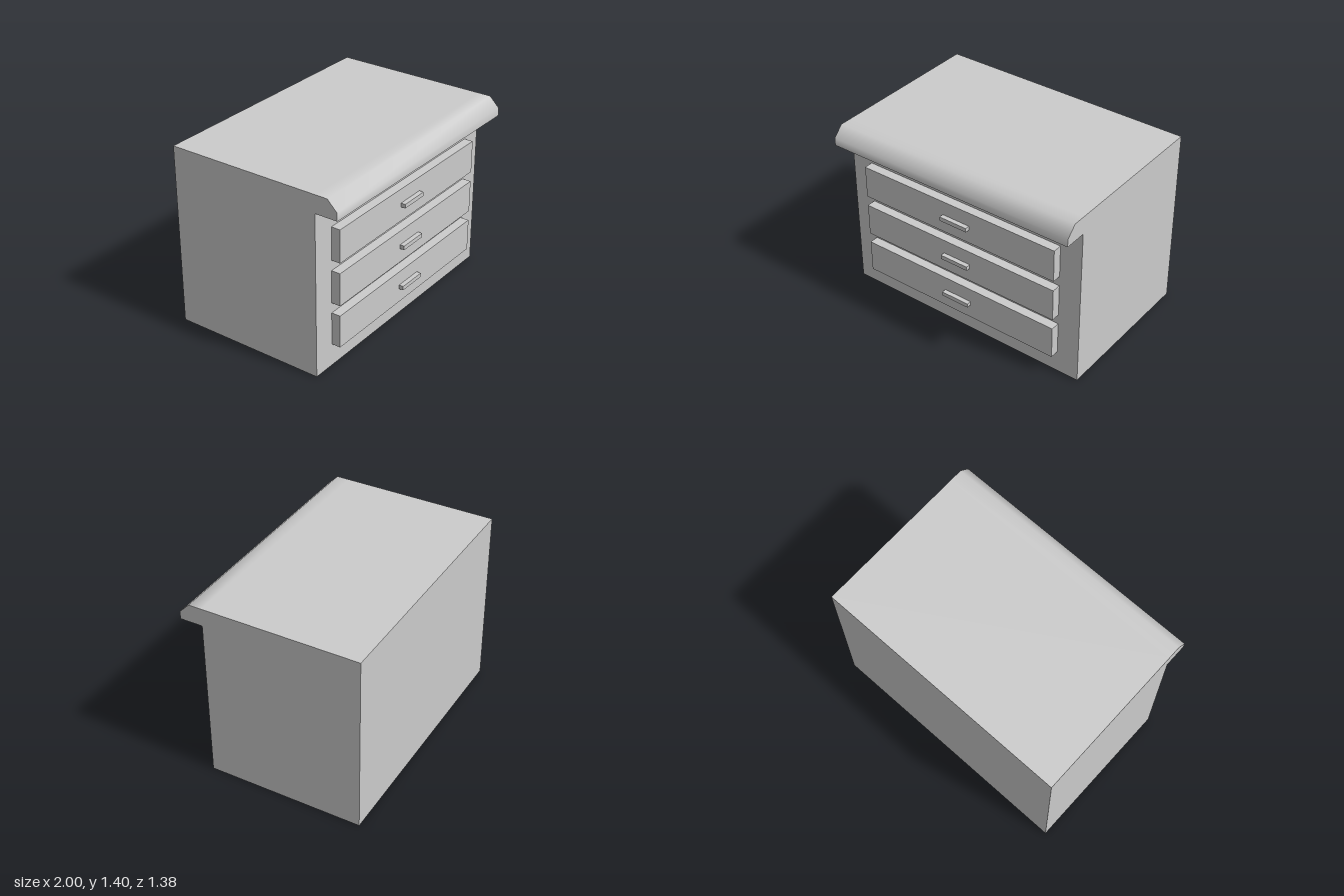
import * as THREE from 'three';
import { toCreasedNormals } from 'three/addons/utils/BufferGeometryUtils.js';

const material = new THREE.MeshStandardMaterial({ color: 0xcccccc });

function box(name, w, h, z0, z1, y) {
  const mesh = new THREE.Mesh(new THREE.BoxGeometry(w, h, z1 - z0), material);
  mesh.name = name;
  mesh.position.set(0, y, (z0 + z1) / 2);
  return mesh;
}

export function createModel() {
  const model = new THREE.Group();
  model.name = 'chestOfDrawers';

  // Cabinet with overhanging chamfered lip: side profile (z, y) extruded across x
  const profile = [
    [-0.687, 0], [0.515, 0], [0.515, 1.263], [0.69, 1.263],
    [0.69, 1.323], [0.613, 1.4], [0.515, 1.4], [-0.687, 1.4],
  ].map(([z, y]) => new THREE.Vector2(z, y));
  const geometry = new THREE.ExtrudeGeometry(new THREE.Shape(profile), { depth: 2, bevelEnabled: false });
  geometry.rotateY(-Math.PI / 2).translate(1, 0, 0);
  // Smooth over the 45 degree lip, sharp at square corners
  const cabinet = new THREE.Mesh(toCreasedNormals(geometry, 0.9), material);
  cabinet.name = 'cabinet';
  model.add(cabinet);

  // Three drawers, each with a bar handle
  for (let i = 0; i < 3; i++) {
    const y = 0.3 + i * 0.332;
    const drawer = new THREE.Group();
    drawer.name = `drawer${i + 1}`;
    drawer.add(box('drawerFront', 1.655, 0.253, 0.515, 0.585, y));
    drawer.add(box('drawerHandle', 0.23, 0.032, 0.585, 0.62, y));
    model.add(drawer);
  }
  return model;
}
